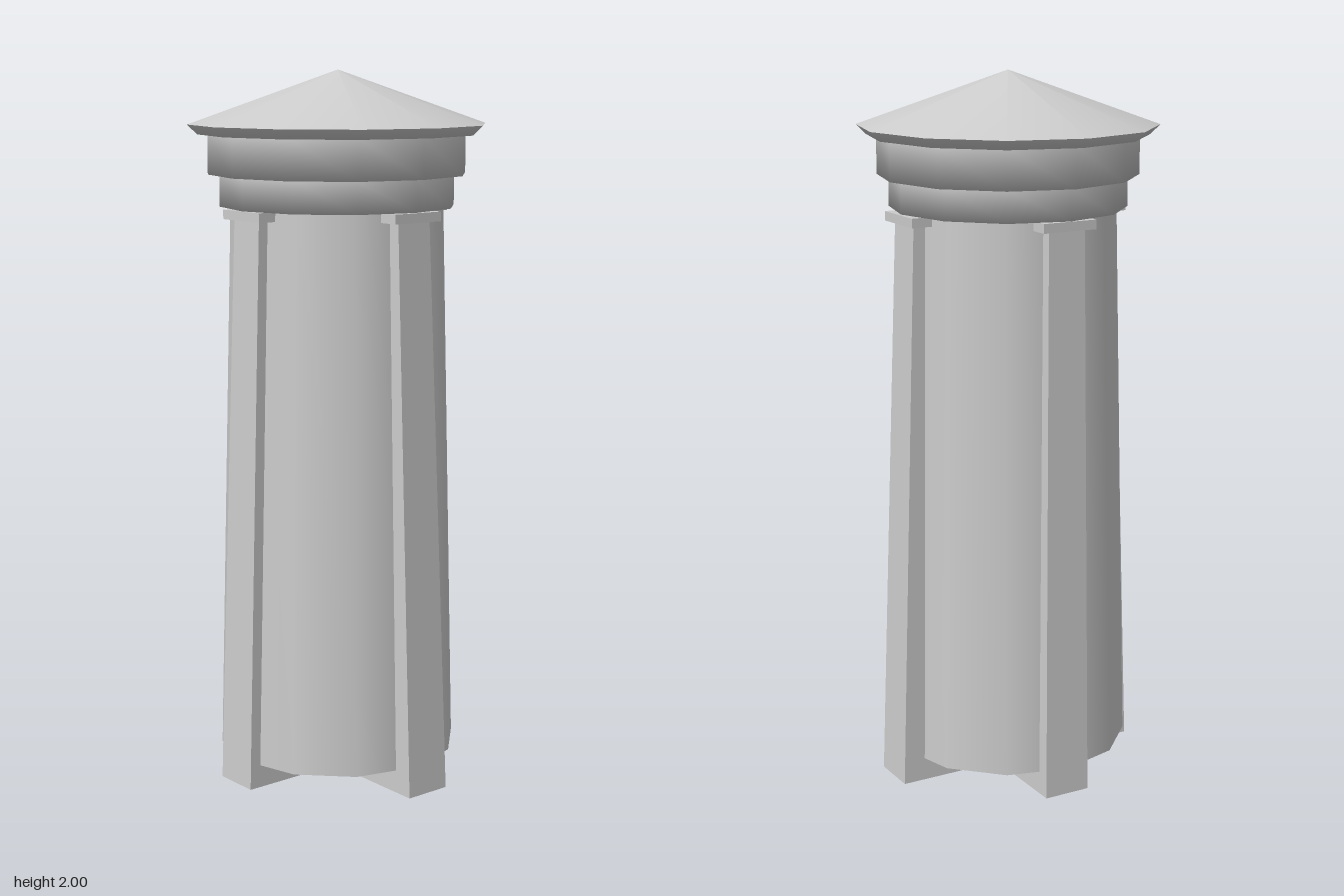
import * as THREE from 'three';

const SIDES = 12;
const grey = new THREE.MeshStandardMaterial({ color: 0xcccccc, side: THREE.DoubleSide });

function add(parent, name, geometry) {
  const mesh = new THREE.Mesh(geometry, grey);
  mesh.name = name;
  parent.add(mesh);
  return mesh;
}

// Smooth twelve-sided turning from [radius, height] pairs, listed bottom to top
function turned(points) {
  return new THREE.LatheGeometry(points.map(([r, y]) => new THREE.Vector2(r, y)), SIDES);
}

// Block with different footprints [x0, x1, z0, z1] at bottom and top
function taperedBlock(bottom, top, y0, y1, openBottom) {
  const geometry = new THREE.BoxGeometry(1, 1, 1);
  const p = geometry.attributes.position;
  for (let i = 0; i < p.count; i++) {
    const f = p.getY(i) < 0 ? bottom : top;
    p.setXYZ(i, p.getX(i) < 0 ? f[0] : f[1], p.getY(i) < 0 ? y0 : y1, p.getZ(i) < 0 ? f[2] : f[3]);
  }
  if (openBottom) {
    // the underside is the fourth face of the box
    geometry.setIndex([...geometry.index.array].filter((_, i) => i < 18 || i >= 24));
  }
  geometry.computeVertexNormals();
  return geometry;
}

export function createModel() {
  const model = new THREE.Group();
  model.name = 'tower';

  // Tapered shaft, open underneath
  add(model, 'shaft', turned([[0.342, 0.065], [0.302, 1.63]]));

  // Two crossing buttress slabs, each with a thin cap
  for (let i = 0; i < 2; i++) {
    const buttress = new THREE.Group();
    buttress.name = 'buttress';
    buttress.rotation.y = i * Math.PI / 2;
    add(buttress, 'buttressSlab',
      taperedBlock([-0.055, 0.081, -0.362, 0.386], [-0.055, 0.056, -0.317, 0.323], 0, 1.605, true));
    const cap = [-0.08, 0.082, -0.336, 0.341];
    add(buttress, 'buttressCap', taperedBlock(cap, cap, 1.6, 1.626, false));
    model.add(buttress);
  }

  // Two stepped collars below the roof
  add(model, 'lowerCollar', turned([[0, 1.626], [0.332, 1.626], [0.332, 1.715]]));
  add(model, 'upperCollar', turned([[0, 1.715], [0.364, 1.715], [0.364, 1.825]]));

  // Bevelled eaves and a shallow pointed roof
  add(model, 'eaves', turned([[0, 1.825], [0.392, 1.825], [0.42, 1.852]]));
  add(model, 'roof', turned([[0.42, 1.852], [0, 2]]));

  return model;
}
